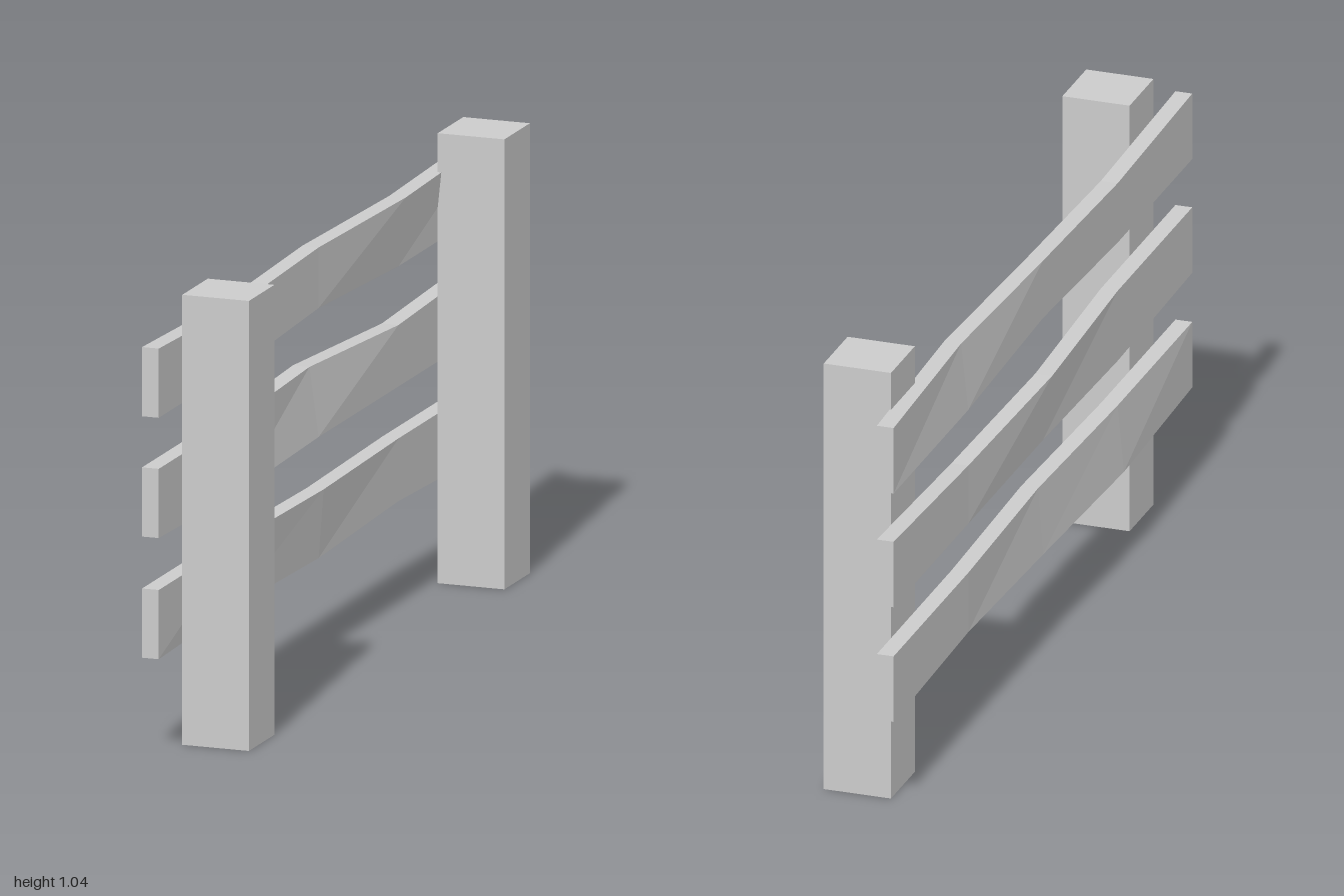
import * as THREE from 'three';

const material = new THREE.MeshStandardMaterial({ color: 0xcccccc, flatShading: true });

function box(name, w, h, d, x, y, z) {
  const mesh = new THREE.Mesh(new THREE.BoxGeometry(w, h, d), material);
  mesh.name = name;
  mesh.position.set(x, y, z);
  return mesh;
}

// A plank along z in four segments; each dent moves the top or bottom edge pair
// of one section sideways (dx) and vertically (dy), like hand-hewn wood.
function rail(name, y, dents) {
  const geometry = new THREE.BoxGeometry(0.04, 0.16, 2, 1, 1, 4);
  const pos = geometry.attributes.position;
  for (let i = 0; i < pos.count; i++) {
    for (const { z, top, dx = 0, dy = 0 } of dents) {
      if (Math.abs(pos.getZ(i) - z) < 0.01 && (pos.getY(i) > 0) === top) {
        pos.setXYZ(i, pos.getX(i) + dx, pos.getY(i) + dy, pos.getZ(i));
      }
    }
  }
  geometry.computeVertexNormals();
  const mesh = new THREE.Mesh(geometry, material);
  mesh.name = name;
  mesh.position.set(-0.07, y, 0);
  return mesh;
}

export function createModel() {
  const fence = new THREE.Group();
  fence.name = 'fence';

  // Square posts
  fence.add(box('frontPost', 0.16, 1.04, 0.16, 0.03, 0.52, 0.773));
  fence.add(box('backPost', 0.16, 1.04, 0.16, 0.03, 0.52, -0.825));

  // Uneven rails on the -x side of the posts
  fence.add(rail('topRail', 0.87, [
    { z: 0.5, top: true, dy: -0.015 },
    { z: 0, top: false, dy: 0.02 },
    { z: -0.5, top: true, dx: 0.017 },
  ]));
  fence.add(rail('middleRail', 0.592, [
    { z: 0.5, top: false, dy: -0.011 },
    { z: 0, top: true, dx: -0.022 },
    { z: -0.5, top: true, dy: -0.018 },
  ]));
  fence.add(rail('bottomRail', 0.312, [
    { z: 0.5, top: false, dx: -0.015 },
    { z: 0, top: true, dx: 0.012 },
    { z: -0.5, top: false, dy: 0.015 },
  ]));
  return fence;
}
